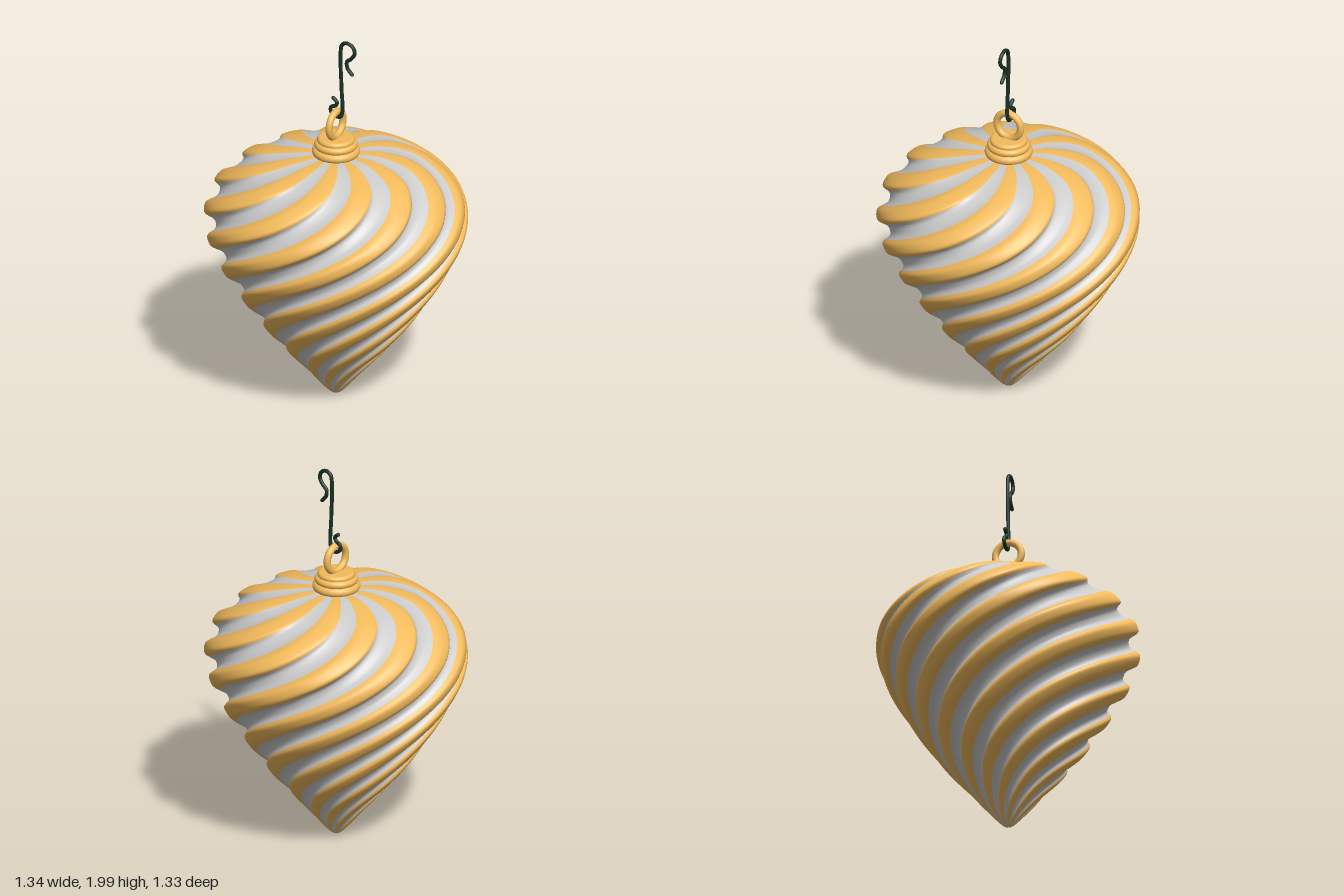
import * as THREE from 'three';

const RIBS = 11, PER_RIB = 17, GOLD_COLS = 9, ROWS = 100;
const COLS = RIBS * PER_RIB;
const DEG = Math.PI / 180;

const v3 = (x, y, z = 0) => new THREE.Vector3(x, y, z);

function addMesh(parent, name, geometry, material) {
  const mesh = new THREE.Mesh(geometry, material);
  mesh.name = name;
  parent.add(mesh);
  return mesh;
}

// Twisted bauble: an outline turned about y, with ribs that wind with height.
// Both stripe colours share one set of vertices, so the shading runs across them.
function createBody(goldMat, greyMat) {
  const outline = new THREE.CatmullRomCurve3([
    v3(0.004, 0.005), v3(0.03, 0.02), v3(0.18, 0.19), v3(0.35, 0.39), v3(0.495, 0.6),
    v3(0.61, 0.8), v3(0.66, 0.93), v3(0.67, 1.02), v3(0.65, 1.11), v3(0.58, 1.2),
    v3(0.43, 1.297), v3(0.23, 1.349), v3(0.09, 1.36),
  ], false, 'centripetal');
  const positions = [];
  for (let i = 0; i <= ROWS; i++) {
    const p = outline.getPointAt(i / ROWS);
    const twist = (1.355 - p.y) * 171 * DEG;
    for (let j = 0; j < COLS; j++) {
      // broad flat crest, scooped groove
      const u = ((j % PER_RIB) - GOLD_COLS / 2) / PER_RIB;
      const ridge = 0.5 + 0.5 * Math.tanh(1.8 * (Math.cos(u * 2 * Math.PI) + 0.15));
      const r = p.x * (0.905 + 0.096 * ridge);
      const a = twist + ((j - GOLD_COLS / 2) / COLS) * 2 * Math.PI;
      positions.push(r * Math.cos(a), p.y, r * Math.sin(a));
    }
  }
  const gold = [], grey = [];
  for (let i = 0; i < ROWS; i++) {
    for (let j = 0; j < COLS; j++) {
      const k = (j + 1) % COLS;
      const a = i * COLS + j, b = a + COLS, c = i * COLS + k, d = c + COLS;
      (j % PER_RIB < GOLD_COLS ? gold : grey).push(a, b, c, b, d, c);
    }
  }
  const whole = new THREE.BufferGeometry();
  whole.setAttribute('position', new THREE.Float32BufferAttribute(positions, 3));
  whole.setIndex([...gold, ...grey]);
  whole.computeVertexNormals();

  const body = new THREE.Group();
  body.name = 'body';
  const stripes = [['goldRibs', gold, goldMat], ['greyGrooves', grey, greyMat]];
  for (const [name, index, material] of stripes) {
    const part = new THREE.BufferGeometry();
    part.setAttribute('position', whole.getAttribute('position'));
    part.setAttribute('normal', whole.getAttribute('normal'));
    part.setIndex(index);
    addMesh(body, name, part, material);
  }
  return body;
}

// Cap of three rounded steps with a hanging ring on top
function createCap(material) {
  const cap = new THREE.Group();
  cap.name = 'cap';
  const steps = [[0.122, 1.375, 0.024], [0.111, 1.412, 0.02], [0.096, 1.438, 0.016]];
  for (const [radius, y, half] of steps) {
    const profile = [new THREE.Vector2(0, -half)];
    for (let i = 0; i <= 10; i++) {
      const a = (-90 + i * 18) * DEG;
      profile.push(new THREE.Vector2(radius - half + half * Math.cos(a), half * Math.sin(a)));
    }
    profile.push(new THREE.Vector2(0, half));
    addMesh(cap, 'capStep', new THREE.LatheGeometry(profile, 48), material).position.y = y;
  }
  const ring = addMesh(cap, 'ring', new THREE.TorusGeometry(0.069, 0.0185, 14, 48), material);
  ring.rotation.y = Math.PI / 2;
  ring.position.y = 1.523;
  return cap;
}

// Bent wire hook with a small curl through the ring and rounded ends
function createHook(material) {
  const hook = new THREE.Group();
  hook.name = 'hook';
  const radius = 0.01;
  const points = [
    [0.088, 1.82], [0.062, 1.85], [0.058, 1.885], [0.085, 1.91], [0.104, 1.944],
    [0.09, 1.978], [0.055, 1.99], [0.03, 1.975], [0.021, 1.93], [0.026, 1.74],
    [0.031, 1.595], [0.018, 1.565], [-0.012, 1.564], [-0.036, 1.585], [-0.034, 1.608],
    [-0.008, 1.622], [0, 1.642], [-0.022, 1.662],
  ].map(([x, y]) => v3(x, y, -0.01));
  const path = new THREE.CatmullRomCurve3(points, false, 'centripetal');
  addMesh(hook, 'wire', new THREE.TubeGeometry(path, 140, radius, 10), material);
  for (const end of [points[0], points[points.length - 1]]) {
    addMesh(hook, 'wireEnd', new THREE.SphereGeometry(radius, 10, 8), material).position.copy(end);
  }
  return hook;
}

export function createModel() {
  const gold = new THREE.MeshStandardMaterial({ color: 0xf2ba5c });
  const grey = new THREE.MeshStandardMaterial({ color: 0xcccccc });
  const green = new THREE.MeshStandardMaterial({ color: 0x1a3024 });

  const model = new THREE.Group();
  model.name = 'hangingOrnament';
  model.add(createBody(gold, grey), createCap(gold), createHook(green));
  return model;
}
